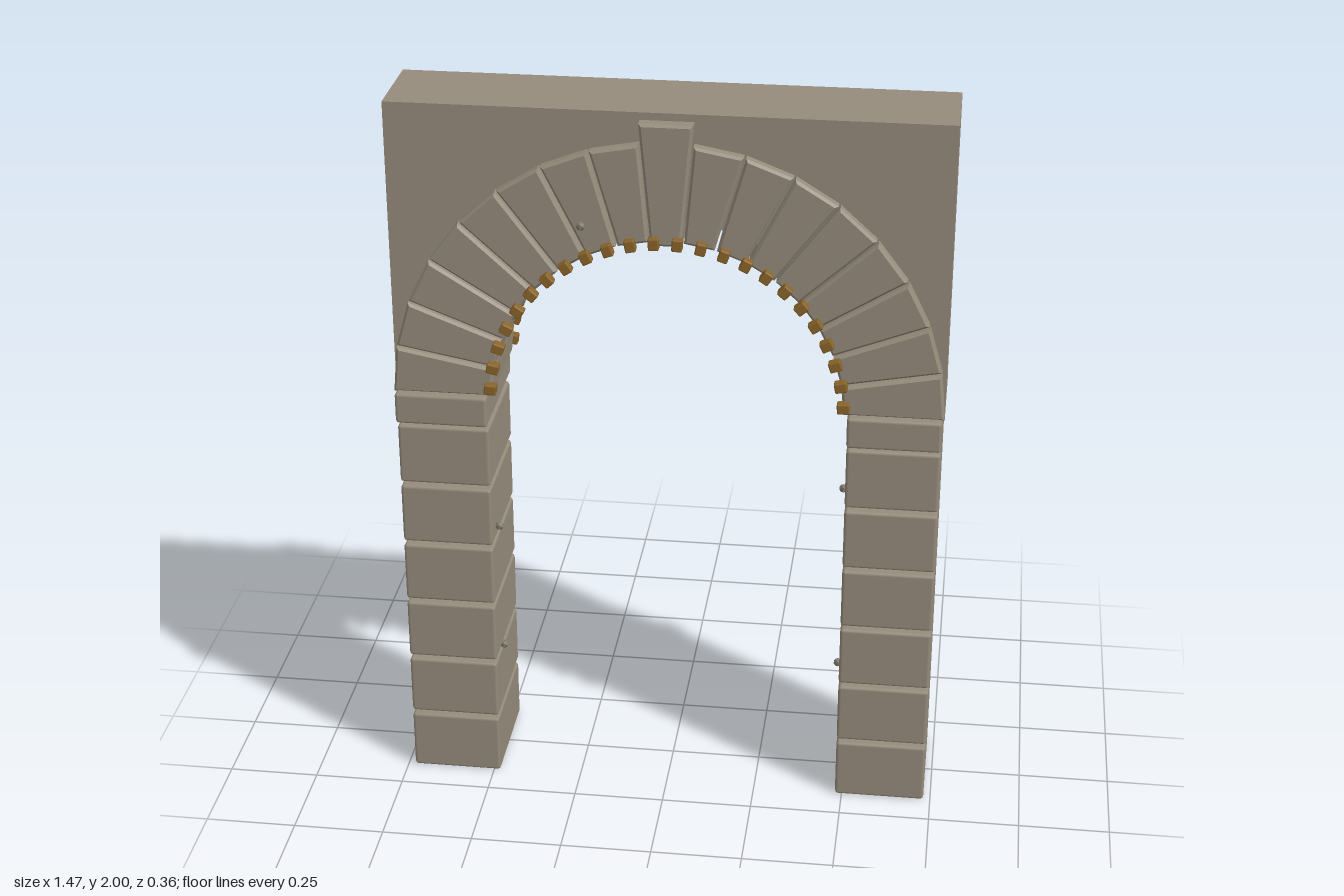
import * as THREE from 'three';
import { RoundedBoxGeometry } from 'three/addons/geometries/RoundedBoxGeometry.js';

const SPRING = 1.19; // height where the arch begins

export function createModel() {
  const group = new THREE.Group();
  const stone = new THREE.MeshStandardMaterial({ color: 0x968c7c });
  stone.name = 'stone';
  const brass = new THREE.MeshStandardMaterial({ color: 0x8a642a });
  brass.name = 'brass';
  const pebbleGrey = new THREE.MeshStandardMaterial({ color: 0x7d776b, flatShading: true });
  pebbleGrey.name = 'pebbleGrey';

  const add = (name, geometry, material, x = 0, y = 0, z = 0) => {
    const mesh = new THREE.Mesh(geometry, material);
    mesh.name = name;
    mesh.position.set(x, y, z);
    group.add(mesh);
    return mesh;
  };

  // Wall above the arch, with a half-round opening hidden behind the ring
  const wall = new THREE.Shape();
  wall.moveTo(0.735, SPRING);
  wall.lineTo(0.735, 2);
  wall.lineTo(-0.735, 2);
  wall.lineTo(-0.735, SPRING);
  wall.lineTo(-0.52, SPRING);
  wall.absarc(0, SPRING, 0.52, Math.PI, 0, true);
  wall.closePath();
  const wallGeometry = new THREE.ExtrudeGeometry(wall, { depth: 0.254, bevelEnabled: false, curveSegments: 34 });
  add('spandrelWall', wallGeometry.translate(0, 0, -0.127), stone);

  // Wedge stone pointing up, chamfered on its front and back edges
  const wedge = (inner, outer, halfAngle, halfDepth) => {
    const bevel = 0.007, gap = 0.003;
    const t = Math.tan(halfAngle);
    const shape = new THREE.Shape([
      new THREE.Vector2(-inner * t + gap, inner),
      new THREE.Vector2(inner * t - gap, inner),
      new THREE.Vector2(outer * t - gap, outer),
      new THREE.Vector2(-outer * t + gap, outer),
    ]);
    const geometry = new THREE.ExtrudeGeometry(shape, {
      depth: 2 * (halfDepth - bevel), bevelEnabled: true, bevelSize: bevel,
      bevelThickness: bevel, bevelOffset: -bevel, bevelSegments: 1,
    });
    return geometry.translate(0, 0, -halfDepth + bevel);
  };

  // Ring of seventeen stones, the middle one a taller keystone
  const count = 17, step = Math.PI / count;
  const voussoir = wedge(0.468, 0.733, step / 2, 0.157);
  const keystone = wedge(0.46, 0.79, step / 2, 0.162);
  for (let i = 0; i < count; i++) {
    const middle = i === (count - 1) / 2;
    const mesh = add(middle ? 'keystone' : 'archStone', middle ? keystone : voussoir, stone, 0, SPRING, 0);
    mesh.rotation.z = (i + 0.5) * step - Math.PI / 2;
  }

  // Piers of six blocks with a wider impost on top
  const block = new RoundedBoxGeometry(0.25, 0.173, 0.318, 1, 0.009);
  const impost = new RoundedBoxGeometry(0.25, 0.088, 0.358, 1, 0.009);
  for (const side of [-1, 1]) {
    for (let i = 0; i < 6; i++) add('pierBlock', block, stone, side * 0.606, 0.0865 + i * 0.184, 0);
    add('impost', impost, stone, side * 0.606, 1.152, 0);
  }

  // Brass studs along the inner edge of the arch, front and back
  const stud = new RoundedBoxGeometry(0.028, 0.033, 0.03, 1, 0.004);
  for (const side of [-1, 1]) {
    for (let i = 0; i < 24; i++) {
      const a = (i + 0.5) * Math.PI / 24;
      const mesh = add('brassStud', stud, brass, 0.471 * Math.cos(a), SPRING + 0.471 * Math.sin(a), side * 0.164);
      mesh.rotation.z = a - Math.PI / 2;
    }
  }

  // Small pebbles stuck to the stones
  const pebble = new THREE.IcosahedronGeometry(0.013, 0);
  const spots = [
    [-0.22, 1.7, 0.168], [-0.43, 1.385, 0.05], [-0.472, 0.77, 0.1],
    [-0.478, 0.365, 0.06], [0.472, 0.925, 0.055], [0.472, 0.373, 0.055],
  ];
  for (const [x, y, z] of spots) add('pebble', pebble, pebbleGrey, x, y, z);

  return group;
}
